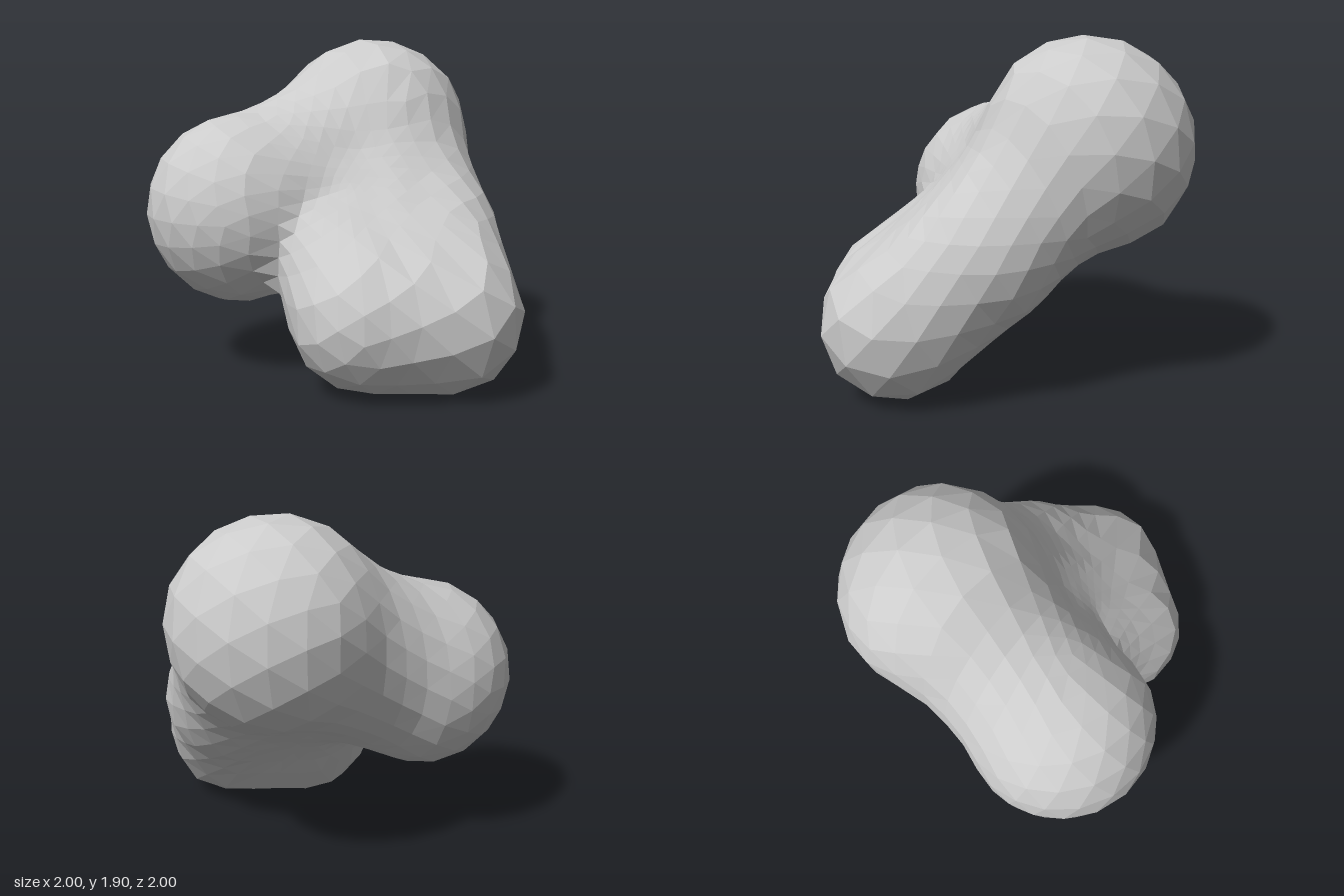
import * as THREE from 'three';

const V = (x, y, z) => new THREE.Vector3(x, y, z);

// Lobe centres
const back = V(0.35, 1.3, -0.42);
const side = V(-0.47, 0.925, -0.02);
const footL = V(0.59, 0.4, 0.6);
const footR = V(0.15, 0.42, 0.57);
const hip = V(0.6, 0.77, 0.14);
const core = V(0.18, 0.93, -0.02);

// Rounded links between lobes: start, end, start radius, end radius, waist
const links = [
  [back, side, 0.585, 0.53, 0.07],
  [footR, footL, 0.4, 0.4, 0],
  [footL, hip, 0.4, 0.38, 0],
  [hip, V(0.42, 1.3, -0.4), 0.38, 0.52, 0.03],
  [footR, V(0.14, 1.2, -0.3), 0.4, 0.45, 0.06],
  [footR, V(-0.03, 0.73, 0.28), 0.4, 0.32, 0],
  [V(0.37, 0.41, 0.59), back, 0.4, 0.58, 0.1],
  [side, core, 0.53, 0.38, 0.02],
];

const axis = V(0, 0, 0), rel = V(0, 0, 0);
function linkDistance(p, [a, b, ra, rb, waist]) {
  axis.subVectors(b, a);
  rel.subVectors(p, a);
  const t = THREE.MathUtils.clamp(rel.dot(axis) / axis.lengthSq(), 0, 1);
  const radius = ra + (rb - ra) * t - waist * Math.sin(Math.PI * t);
  return rel.addScaledVector(axis, -t).length() - radius;
}

// Softly blended union of all links
function distance(p) {
  const k = 0.05;
  return links.reduce((d, link) => {
    const e = linkDistance(p, link);
    const h = Math.max(k - Math.abs(d - e), 0) / k;
    return Math.min(d, e) - h * h * k * 0.25;
  }, 10);
}

export function createModel() {
  const group = new THREE.Group();

  // Shrink a faceted ball on to the blended lobes
  const geometry = new THREE.IcosahedronGeometry(1, 6);
  const pos = geometry.attributes.position;
  const centre = V(0.07, 0.9, 0.1);
  const dir = V(0, 0, 0), p = V(0, 0, 0);
  for (let i = 0; i < pos.count; i++) {
    dir.fromBufferAttribute(pos, i).normalize();
    let r = 1.8;
    for (let step = 0; step < 80; step++) {
      const d = distance(p.copy(centre).addScaledVector(dir, r));
      if (d < 0.0005 || r < 0.1) break;
      r -= d * 0.8;
    }
    pos.setXYZ(i, p.x, p.y, p.z);
  }
  geometry.computeVertexNormals();

  const material = new THREE.MeshStandardMaterial({ color: 0xcccccc, flatShading: true });
  const rock = new THREE.Mesh(geometry, material);
  rock.name = 'lobedRock';
  group.add(rock);
  return group;
}
